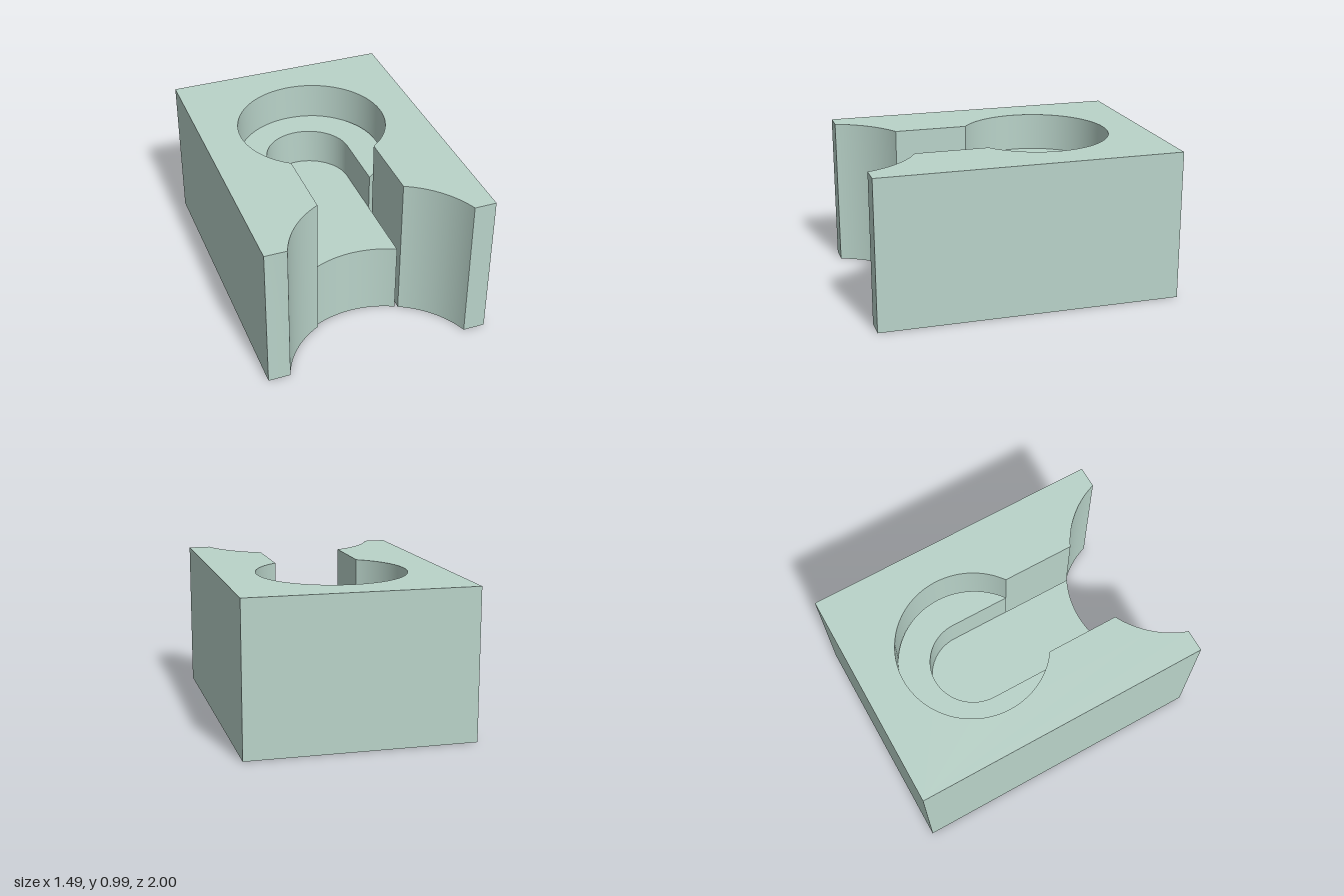
import * as THREE from 'three';
import { toCreasedNormals } from 'three/addons/utils/BufferGeometryUtils.js';

// Plan measurements; shape y points to the back (-z)
const W = 0.745, H = 0.99;
const BORE = { y: 0.25, r: 0.495 };           // round pocket
const NECK = 0.285;                           // half width of the channel
const SCOOP = { y: -1.208, r: 0.635 };        // concave front
const LIP = 0.6;                              // half width of the scoop at the front
const NECK_BACK = BORE.y - Math.sqrt(BORE.r ** 2 - NECK ** 2);
const scoopY = (x) => (x === LIP ? -1 : SCOOP.y + Math.sqrt(SCOOP.r ** 2 - x * x));

// Arc of a circle centred on x = 0, between two points
function arc(shape, c, x1, y1, x2, y2, clockwise) {
  shape.absarc(0, c.y, c.r, Math.atan2(y1 - c.y, x1), Math.atan2(y2 - c.y, x2), clockwise);
}

// Channel edge, round the pocket and back along the other channel edge
function keyhole(shape) {
  shape.lineTo(-NECK, NECK_BACK);
  arc(shape, BORE, -NECK, NECK_BACK, NECK, NECK_BACK, true);
}

function extrude(name, shape, y0, y1, material) {
  const geo = new THREE.ExtrudeGeometry(shape, { depth: y1 - y0, bevelEnabled: false, curveSegments: 64 });
  geo.rotateX(-Math.PI / 2);
  const mesh = new THREE.Mesh(toCreasedNormals(geo, 0.5), material);
  mesh.position.y = y0;
  mesh.name = name;
  return mesh;
}

export function createModel() {
  const model = new THREE.Group();
  model.name = 'keyholeBlock';
  const material = new THREE.MeshStandardMaterial({ color: 0xb9d3c9 });
  const front = scoopY(NECK);

  // Outer block with keyhole opening and scooped front
  const block = new THREE.Shape();
  block.moveTo(-W, 1);
  block.lineTo(-W, -1);
  block.lineTo(-LIP, -1);
  arc(block, SCOOP, -LIP, -1, -NECK, front, true);
  keyhole(block);
  block.lineTo(NECK, front);
  arc(block, SCOOP, NECK, front, LIP, -1, true);
  block.lineTo(W, -1);
  block.lineTo(W, 1);
  model.add(extrude('outerBlock', block, 0, H, material));

  // Insert, sitting slightly off to one side so a thin gap stays open
  const insert = new THREE.Group();
  insert.name = 'insert';
  insert.position.set(-0.02, 0, -0.01);

  // Channel floor
  const floor = new THREE.Shape();
  floor.moveTo(-NECK, front);
  keyhole(floor);
  floor.lineTo(NECK, front);
  arc(floor, SCOOP, NECK, front, -NECK, front, false);
  insert.add(extrude('channelFloor', floor, 0, 0.49, material));

  // Raised horseshoe ledge around the channel end
  const ledge = new THREE.Shape();
  ledge.moveTo(-NECK, NECK_BACK);
  arc(ledge, BORE, -NECK, NECK_BACK, NECK, NECK_BACK, true);
  ledge.lineTo(NECK, BORE.y);
  ledge.absarc(0, BORE.y, NECK, 0, Math.PI, false);
  insert.add(extrude('horseshoeLedge', ledge, 0.49, 0.74, material));

  model.add(insert);
  return model;
}
